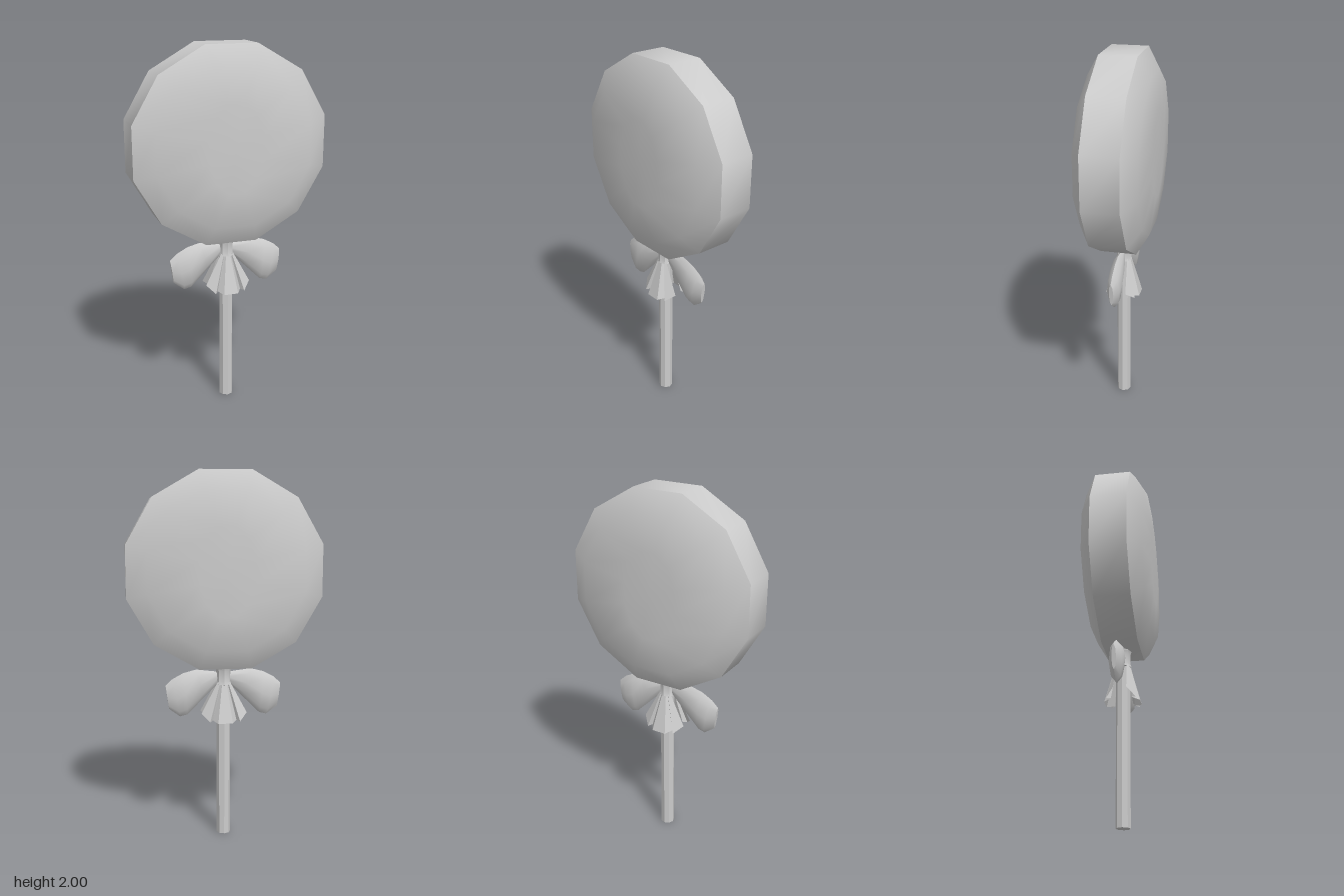
import * as THREE from 'three';
import { toCreasedNormals } from 'three/addons/utils/BufferGeometryUtils.js';

const grey = new THREE.MeshStandardMaterial({ color: 0xcccccc });
const greyFlat = new THREE.MeshStandardMaterial({ color: 0xcccccc, flatShading: true, side: THREE.DoubleSide });

function mesh(name, geometry, material = grey) {
  const m = new THREE.Mesh(geometry, material);
  m.name = name;
  return m;
}

// Surface through rows of points; every row has the same length
function loft(rows, closed) {
  const n = rows[0].length;
  const index = [];
  for (let r = 0; r < rows.length - 1; r++) {
    for (let i = 0; i < (closed ? n : n - 1); i++) {
      const j = (i + 1) % n;
      const a = r * n + i, b = r * n + j, c = a + n, d = b + n;
      index.push(a, c, b, b, c, d);
    }
  }
  const g = new THREE.BufferGeometry();
  g.setAttribute('position', new THREE.Float32BufferAttribute(rows.flat(2), 3));
  g.setIndex(index);
  return g;
}

// Twelve-sided disc with a bevelled rim and gently domed faces
function candyGeometry() {
  const half = [[0.24, 0.181], [0.43, 0.16], [0.539, 0.097]];
  const profile = [
    [0, -0.181], ...half.map(([r, z]) => [r, -z]),
    ...half.slice().reverse(), [0, 0.181],
  ].map(([r, z]) => new THREE.Vector2(r, z));
  const g = new THREE.LatheGeometry(profile, 12, Math.PI / 12);
  g.rotateX(Math.PI / 2);
  // Narrow the flat middle of each face
  const p = g.attributes.position;
  for (let i = 0; i < p.count; i++) {
    if (Math.abs(p.getZ(i)) > 0.17) p.setX(i, p.getX(i) * 0.63);
  }
  return toCreasedNormals(g, 0.62);
}

// Puffed bow loop on +x: lens sections from the knot out to the rounded tip
function bowLoopGeometry() {
  // Upper x, y, lower x, y, half thickness
  const stations = [
    [0.03, 0.925, 0.02, 0.87, 0.012],
    [0.15, 0.94, 0.11, 0.78, 0.032],
    [0.22, 0.922, 0.20, 0.69, 0.038],
    [0.28, 0.89, 0.24, 0.68, 0.034],
    [0.318, 0.855, 0.30, 0.725, 0.012],
  ];
  const rows = stations.map(([ux, uy, lx, ly, t]) => {
    const ring = [];
    for (let i = 0; i < 8; i++) {
      const a = (i / 8) * Math.PI * 2;
      const k = (1 - Math.cos(a)) / 2;
      ring.push([ux + (lx - ux) * k, uy + (ly - uy) * k, t * Math.sin(a)]);
    }
    return ring;
  });
  const cap = (row) => {
    const c = [0, 1, 2].map((k) => (row[0][k] + row[4][k]) / 2);
    return row.map(() => c);
  };
  const g = loft([cap(rows[0]), ...rows, cap(rows[4])], true);
  return toCreasedNormals(g, 0.8);
}

// Pleated tail that flares forward and down from the knot
function tailGeometry() {
  const right = [[0.04, 0.655, 0.095], [0.065, 0.665, 0.055], [0.082, 0.66, 0.078], [0.125, 0.70, 0.035]];
  const hem = [...right.map(([x, y, z]) => [-x, y, z]).reverse(), ...right];
  const top = hem.map(([x, , z]) => [x * 0.28, 0.87, 0.018 + z * 0.2]);
  return loft([top, hem], false);
}

export function createModel() {
  const model = new THREE.Group();

  const candy = mesh('candy', candyGeometry());
  candy.position.y = 1.478;
  model.add(candy);

  const stick = mesh('stick', toCreasedNormals(new THREE.CylinderGeometry(0.038, 0.038, 1, 8), 0.5));
  stick.position.y = 0.5;
  model.add(stick);

  // Ribbon band, slightly pinched between its two rims
  const band = [[0.036, 0.855], [0.046, 0.858], [0.041, 0.875], [0.041, 0.935], [0.046, 0.95], [0.036, 0.954]];
  const knot = mesh('knot', toCreasedNormals(
    new THREE.LatheGeometry(band.map(([r, y]) => new THREE.Vector2(r, y)), 8), 0.5));
  model.add(knot);

  // Loops left and right, tails front and back
  const bow = new THREE.Group();
  bow.name = 'bow';
  const loop = bowLoopGeometry();
  const tail = tailGeometry();
  for (const turn of [0, Math.PI]) {
    const l = mesh(turn ? 'rightLoop' : 'leftLoop', loop, new THREE.MeshStandardMaterial({ color: 0xcccccc, side: THREE.DoubleSide }));
    const t = mesh(turn ? 'backTail' : 'frontTail', tail, greyFlat);
    l.rotation.y = t.rotation.y = turn;
    bow.add(l, t);
  }
  model.add(bow);
  return model;
}
